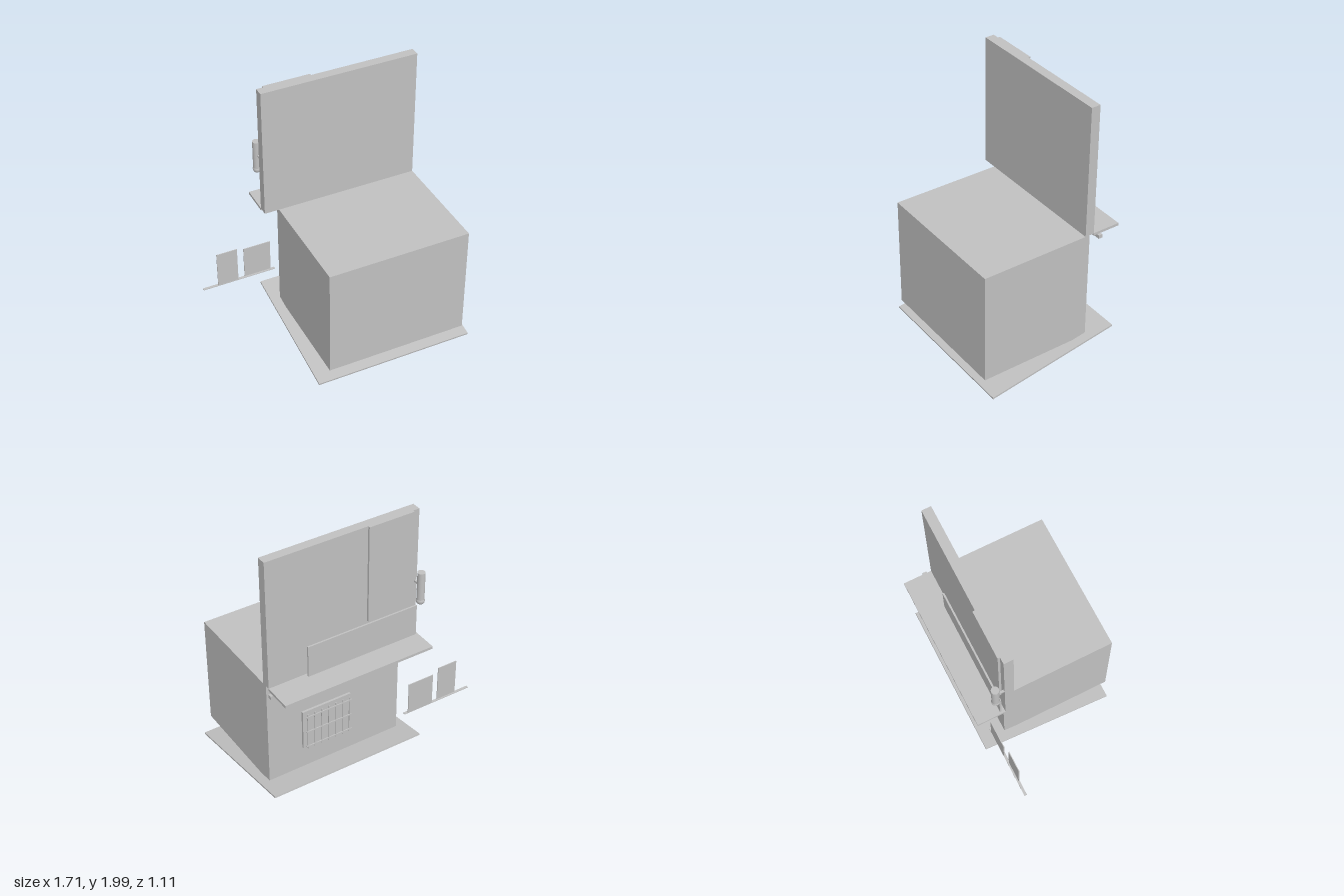
import * as THREE from 'three';

export function createModel() {
  const model = new THREE.Group();
  const grey = new THREE.MeshStandardMaterial({ color: 0xc0c0c0 });
  grey.name = 'grey';

  const add = (name, geometry, parent = model) => {
    const mesh = new THREE.Mesh(geometry, grey);
    mesh.name = name;
    parent.add(mesh);
    return mesh;
  };
  // Box given by its lower and upper limits on each axis
  const box = (name, [x0, x1], [y0, y1], [z0, z1], parent = model) => {
    const mesh = add(name, new THREE.BoxGeometry(x1 - x0, y1 - y0, z1 - z0), parent);
    mesh.position.set((x0 + x1) / 2, (y0 + y1) / 2, (z0 + z1) / 2);
    return mesh;
  };
  const group = (name) => {
    const g = new THREE.Group();
    g.name = name;
    model.add(g);
    return g;
  };

  // Main block, upright wall and the panels behind it
  box('body', [-0.295, 0.78], [0.135, 0.998], [-0.305, 0.555]);
  box('upperWall', [-0.405, 0.78], [0.998, 2], [-0.34, -0.27]);
  box('upperPanel', [-0.355, 0], [1.25, 2], [-0.357, -0.34]);
  box('lowerPanel', [-0.39, 0.49], [1, 1.245], [-0.375, -0.362]);

  // Sloping floor plate
  const floor = add('floorPlate', new THREE.BoxGeometry(1.22, 0.013, 1.045));
  floor.position.set(0.24, 0.094, 0.02);
  floor.rotation.x = Math.atan2(0.164, 1.025);

  // Shelf with its rail and folded arms underneath
  box('shelf', [-0.405, 0.78], [0.98, 1], [-0.555, -0.34]);
  box('shelfRail', [-0.315, 0.8], [0.953, 0.98], [-0.4, -0.37]);
  const arms = group('shelfArms');
  for (const side of [-1, 1]) {
    const arm = add('foldingArm', new THREE.BoxGeometry(0.92, 0.012, 0.016), arms);
    arm.position.set(0.23, 0.957 + side * 0.007, -0.452);
    arm.rotation.y = side * 0.09;
    arm.rotation.z = side * 0.012;
  }
  const pivot = add('armPivot', new THREE.CylinderGeometry(0.014, 0.014, 0.04, 16), arms);
  pivot.position.set(0.23, 0.957, -0.452);

  // Hanging rod with a rounded lower end
  const rod = group('rod');
  const shaft = add('rodShaft', new THREE.CylinderGeometry(0.028, 0.028, 0.23, 24), rod);
  shaft.position.set(-0.395, 1.42, -0.405);
  const tip = add('rodTip', new THREE.SphereGeometry(0.031, 24, 16), rod);
  tip.position.set(-0.395, 1.306, -0.405);
  box('rodPin', [-0.4, -0.385], [1.423, 1.437], [-0.385, -0.335], rod);

  // Vent plate with a grid standing off it
  const vent = group('vent');
  box('ventPlate', [0.14, 0.53], [0.37, 0.69], [-0.357, -0.34], vent);
  for (let i = 0; i < 7; i++) {
    const x = 0.165 + (i * 0.34) / 6;
    box('uprightBar', [x - 0.005, x + 0.005], [0.378, 0.685], [-0.387, -0.38], vent);
  }
  for (const y of [0.4, 0.53, 0.66]) {
    box('crossBar', [0.15, 0.52], [y - 0.005, y + 0.005], [-0.39, -0.383], vent);
  }

  // Two thin sliding plates on a narrow track
  const slider = group('slidingPlates');
  box('track', [-0.855, -0.285], [0.348, 0.353], [-0.422, -0.402], slider);
  box('tallPlate', [-0.74, -0.58], [0.353, 0.637], [-0.41, -0.404], slider);
  box('widePlate', [-0.525, -0.315], [0.353, 0.608], [-0.422, -0.416], slider);

  return model;
}
